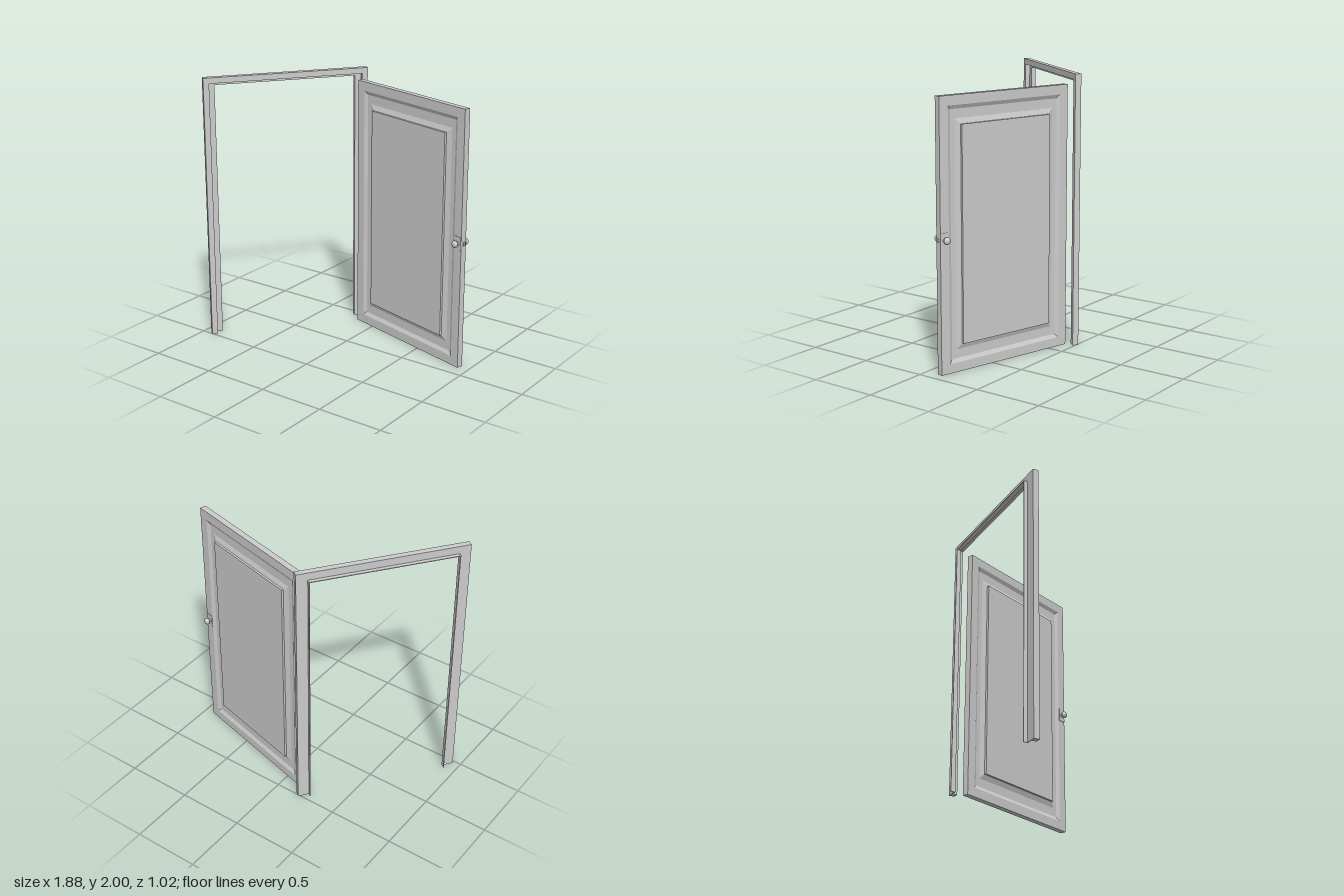
import * as THREE from 'three';

const grey = new THREE.MeshStandardMaterial({ color: 0xcccccc, flatShading: true });
const smooth = new THREE.MeshStandardMaterial({ color: 0xcccccc });

function add(parent, name, geometry, material = grey) {
  const mesh = new THREE.Mesh(geometry, material);
  mesh.name = name;
  parent.add(mesh);
  return mesh;
}

// Upside-down U (two jambs and a head) extruded from z0 to z1
function archGeometry(outX, outY, inX, inY, z0, z1) {
  const shape = new THREE.Shape([
    [-outX, 0], [-inX, 0], [-inX, inY], [inX, inY],
    [inX, 0], [outX, 0], [outX, outY], [-outX, outY],
  ].map(([x, y]) => new THREE.Vector2(x, y)));
  const geometry = new THREE.ExtrudeGeometry(shape, { depth: z1 - z0, bevelEnabled: false });
  return geometry.translate(0, 0, z0);
}

// Closed solid through a run of rectangles [halfWidth, halfHeight, z], front to back
function rectangleLoft(rings) {
  const position = [];
  const corners = ([w, h, z]) => [[-w, -h, z], [w, -h, z], [w, h, z], [-w, h, z]];
  const quad = (a, b, c, d) => position.push(...a, ...b, ...c, ...a, ...c, ...d);
  const loops = rings.map(corners);
  quad(...loops[0]);
  for (let i = 0; i < loops.length - 1; i++) {
    for (let k = 0; k < 4; k++) {
      const n = (k + 1) % 4;
      quad(loops[i][n], loops[i][k], loops[i + 1][k], loops[i + 1][n]);
    }
  }
  quad(...loops[loops.length - 1].slice().reverse());
  const geometry = new THREE.BufferGeometry();
  geometry.setAttribute('position', new THREE.Float32BufferAttribute(position, 3));
  geometry.computeVertexNormals();
  return geometry;
}

function createFrame() {
  const frame = new THREE.Group();
  frame.name = 'doorFrame';
  add(frame, 'frameCasing', archGeometry(0.62, 2, 0.577, 1.957, -0.015, 0.0215));
  add(frame, 'frameRebate', archGeometry(0.62, 2, 0.535, 1.937, -0.0215, -0.015));
  add(frame, 'frameStop', archGeometry(0.537, 1.943, 0.531, 1.937, -0.049, -0.015));
  frame.position.set(-0.552, 0, -0.004);
  frame.rotation.y = 0.925;
  return frame;
}

function createDoor() {
  const door = new THREE.Group();
  door.name = 'door';

  // Leaf: flat border, recessed moulding and raised centre panel on both faces
  const face = [
    [0.387, 0.764, 0.039], [0.387, 0.764, 0.023], [0.428, 0.802, 0.009],
    [0.465, 0.867, 0.009], [0.492, 0.894, 0.023], [0.563, 0.962, 0.023],
  ];
  const back = face.map(([w, h, z]) => [w, h, -z]).reverse();
  add(door, 'doorLeaf', rectangleLoft([...face, ...back])).position.y = 0.962;

  // Knob profile: thin neck and flattened round head
  const profile = [[0.016, 0.022], [0.016, 0.027], [0.009, 0.029], [0.009, 0.036]];
  for (let i = 1; i <= 8; i++) {
    const a = -1.2 + (i / 8) * (Math.PI / 2 + 1.2);
    profile.push([Math.max(0, 0.026 * Math.cos(a)), 0.052 + 0.018 * Math.sin(a)]);
  }
  const knob = new THREE.LatheGeometry(profile.map(([r, y]) => new THREE.Vector2(r, y)), 20);
  knob.rotateX(Math.PI / 2);

  // Knob and plate on each face
  for (const side of [0, 1]) {
    const handle = new THREE.Group();
    handle.name = side ? 'backHandle' : 'frontHandle';
    handle.position.set(0.528, 0.95, 0);
    handle.rotation.y = side * Math.PI;
    add(handle, 'knob', knob, smooth);
    add(handle, 'knobPlate', new THREE.BoxGeometry(0.063, 0.1, 0.004)).position.z = 0.0245;
    door.add(handle);
  }

  // Latch bolt on the free edge
  add(door, 'latch', new THREE.BoxGeometry(0.03, 0.025, 0.014)).position.set(0.56, 0.95, 0);

  door.position.set(0.38, 0, -0.259);
  door.rotation.y = -0.253;
  return door;
}

export function createModel() {
  const model = new THREE.Group();
  model.name = 'openDoor';
  model.add(createFrame(), createDoor());
  return model;
}
